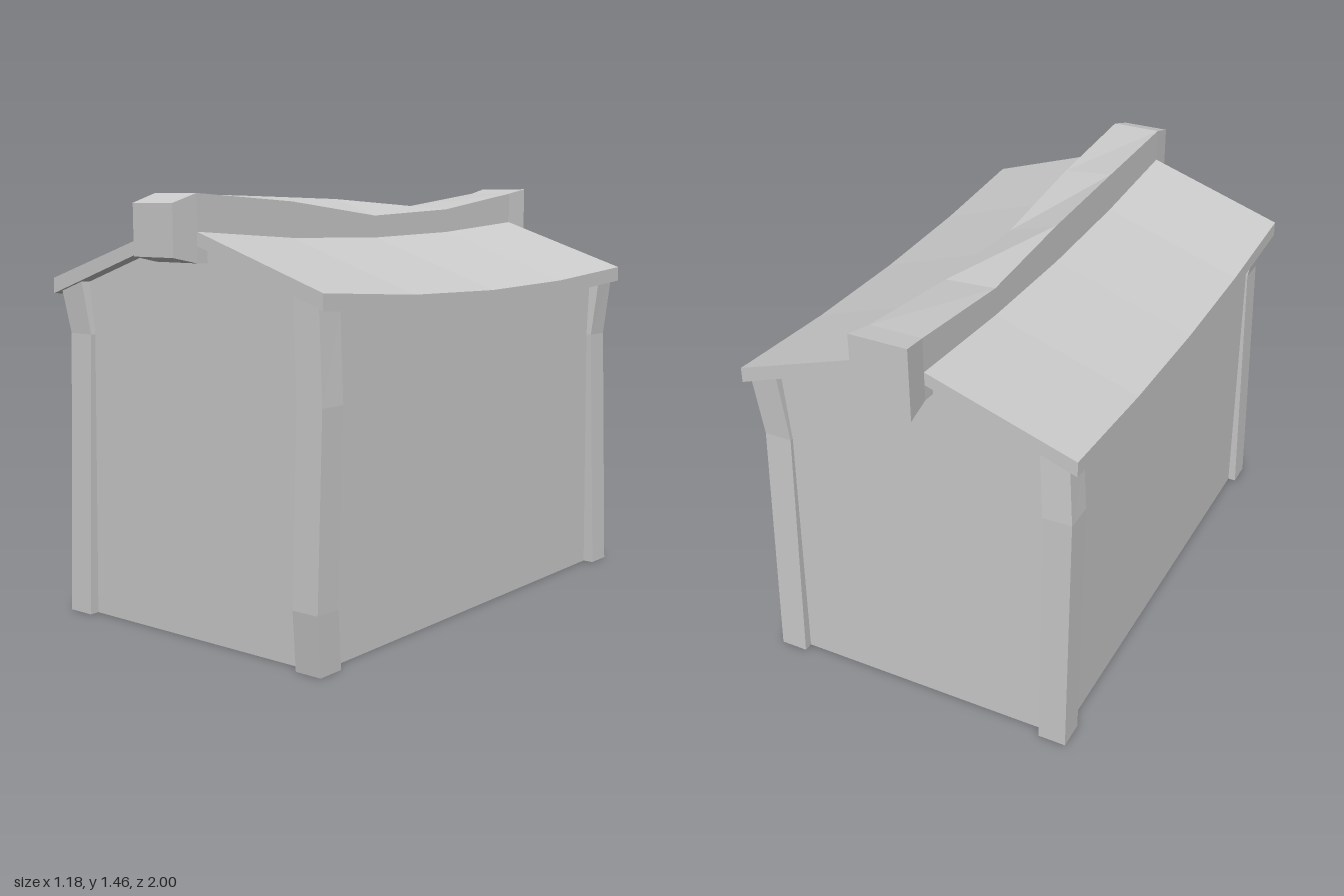
import * as THREE from 'three';

const material = new THREE.MeshStandardMaterial({ color: 0xcccccc, flatShading: true });

// Closed solid through a row of convex rings (counterclockwise seen from the last ring's end)
function loft(name, rings) {
  const pos = [];
  const tri = (...pts) => pts.forEach((p) => pos.push(...p));
  const n = rings[0].length;
  for (let i = 0; i < rings.length - 1; i++) {
    for (let j = 0; j < n; j++) {
      const k = (j + 1) % n;
      const [a, b, c, d] = [rings[i][j], rings[i][k], rings[i + 1][k], rings[i + 1][j]];
      tri(a, b, c);
      tri(a, c, d);
    }
  }
  const first = rings[0];
  const last = rings[rings.length - 1];
  for (let j = 1; j < n - 1; j++) {
    tri(first[0], first[j + 1], first[j]);
    tri(last[0], last[j], last[j + 1]);
  }
  const geometry = new THREE.BufferGeometry();
  geometry.setAttribute('position', new THREE.Float32BufferAttribute(pos, 3));
  geometry.computeVertexNormals();
  const mesh = new THREE.Mesh(geometry, material);
  mesh.name = name;
  return mesh;
}

// Mirror a ring across x, keeping its winding
const mirrorX = (ring) => ring.map(([x, y, z]) => [-x, y, z]).reverse();

// Sagging roof surfaces
const sag = (z) => 0.04 * (1 - (z / 0.9) ** 2);
const under = (x, z) => 1.31 - 0.35 * Math.abs(x) - sag(z);
const over = (x, z) => 1.352 - 0.333 * Math.abs(x) - sag(z);

export function createModel() {
  const group = new THREE.Group();
  group.name = 'house';
  const stations = [-0.9, -0.45, 0, 0.45, 0.9];

  // Roof slopes and long side walls, one of each per side
  const roof = stations.map((z) => [
    [0, under(0, z), z], [0.59, under(0.59, z), z],
    [0.59, over(0.59, z), z], [0, over(0, z), z],
  ]);
  const side = [-0.85, -0.45, 0, 0.45, 0.85].map((z) => [
    [0.5, 0, z], [0.53, 0, z],
    [0.53, under(0.53, z) + 0.01, z], [0.5, under(0.5, z) + 0.01, z],
  ]);
  group.add(loft('leftRoof', roof), loft('rightRoof', roof.map(mirrorX)));
  group.add(loft('leftWall', side), loft('rightWall', side.map(mirrorX)));

  // Gable walls
  const gable = (z) => [
    [-0.525, 0, z], [0.525, 0, z], [0.525, under(0.525, z) + 0.01, z],
    [0, under(0, z) + 0.01, z], [-0.525, under(0.525, z) + 0.01, z],
  ];
  group.add(loft('frontWall', [gable(0.825), gable(0.855)]));
  group.add(loft('backWall', [gable(-0.855), gable(-0.825)]));

  // Crooked corner posts: [y, centre x, centre z]; the top is cut along the roof
  const posts = {
    frontLeftPost: [[0, 0.52, 0.843], [0.2, 0.53, 0.868], [0.82, 0.537, 0.852], [null, 0.522, 0.847]],
    frontRightPost: [[0, -0.51, 0.84], [0.97, -0.488, 0.825], [null, -0.512, 0.84]],
    backLeftPost: [[0, 0.52, -0.838], [0.9, 0.5, -0.818], [null, 0.52, -0.833]],
    backRightPost: [[0, -0.51, -0.84], [0.92, -0.526, -0.85], [null, -0.512, -0.84]],
  };
  const corners = [[-1, 1], [1, 1], [1, -1], [-1, -1]];
  for (const [name, path] of Object.entries(posts)) {
    group.add(loft(name, path.map(([y, cx, cz]) => corners.map(([sx, sz]) => {
      const x = cx + sx * 0.049;
      const z = cz + sz * 0.049;
      return [x, y ?? under(x, z) + 0.005, z];
    }))));
  }

  // Warped ridge beam: [z, half width, bottom, top at -x, top at +x]
  const beam = [
    [-1, 0.1, 1.21, 1.455, 1.455],
    [-0.9, 0.09, 1.225, 1.437, 1.437],
    [-0.45, 0.09, 1.2, 1.388, 1.378],
    [0, 0.09, 1.19, 1.418, 1.36],
    [0.45, 0.09, 1.2, 1.43, 1.412],
    [0.9, 0.09, 1.225, 1.44, 1.44],
    [1, 0.086, 1.245, 1.41, 1.41],
  ].map(([z, w, bottom, right, left]) => [
    [-w, bottom, z], [w, bottom, z], [w, left, z], [-w, right, z],
  ]);
  group.add(loft('ridgeBeam', beam));

  return group;
}
